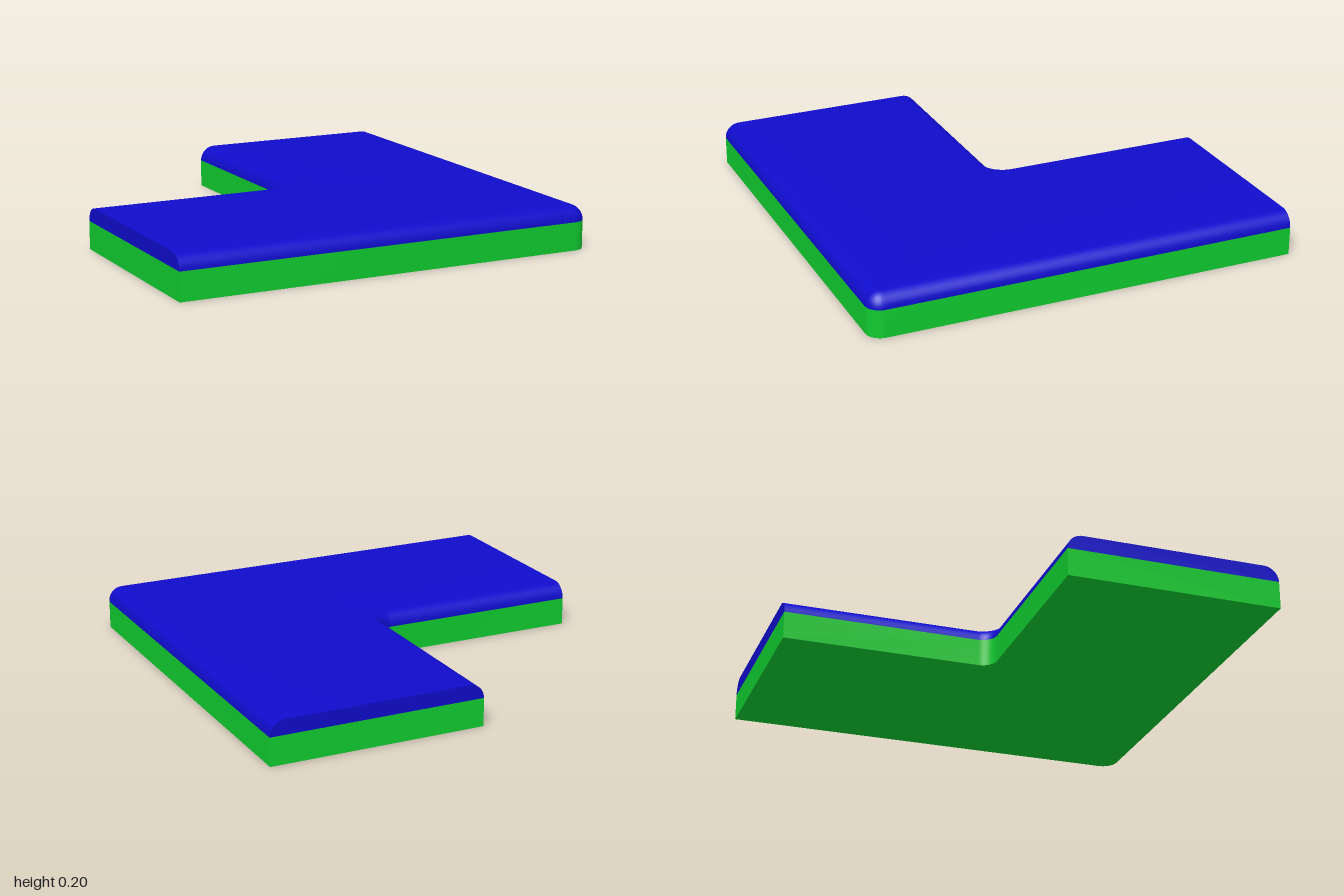
import * as THREE from 'three';
import { toCreasedNormals } from 'three/addons/utils/BufferGeometryUtils.js';

const R = 0.07;      // corner and edge radius
const SEAM = 0.13;   // height where the rounded top begins
const STEPS = 10;

// Stations along the L: left end, round the corner, back end
const stations = [{ a: Math.PI / 2, end: 'left' }];
for (let i = 0; i <= STEPS; i++) stations.push({ a: (Math.PI / 2) * (1 - i / STEPS) });
stations.push({ a: 0, end: 'back' });

// Place a section point (outer or inner side, inset d, height y) at a station
function place({ a, end }, { outer, d, y }) {
  const centre = outer ? 1 - R : -R;
  const r = outer ? R - d : R + d;
  const x = end === 'left' ? -1 : centre + r * Math.cos(a);
  const z = end === 'back' ? -1 : centre + r * Math.sin(a);
  return [x, y, z];
}

// Sweep a convex section along the stations and close both ends
function sweep(name, section, color) {
  const n = section.length;
  const positions = stations.flatMap(s => section.flatMap(p => place(s, p)));
  const index = [];
  const last = (stations.length - 1) * n;
  for (let s = 0; s < last; s += n) {
    for (let j = 0; j < n - 1; j++) {
      const p = s + j, q = p + n;
      index.push(p, q, q + 1, p, q + 1, p + 1);
    }
  }
  for (let j = 1; j < n - 1; j++) {
    index.push(0, j, j + 1, last, last + j + 1, last + j);
  }
  const geometry = new THREE.BufferGeometry();
  geometry.setAttribute('position', new THREE.Float32BufferAttribute(positions, 3));
  geometry.setIndex(index);
  const mesh = new THREE.Mesh(
    toCreasedNormals(geometry, 0.6),
    new THREE.MeshStandardMaterial({ color, side: THREE.DoubleSide })
  );
  mesh.name = name;
  return mesh;
}

export function createModel() {
  const group = new THREE.Group();
  group.name = 'cornerSlab';

  // Straight-sided lower layer
  const base = [
    { outer: false, d: 0, y: SEAM },
    { outer: false, d: 0, y: 0 },
    { outer: true, d: 0, y: 0 },
    { outer: true, d: 0, y: SEAM },
  ];

  // Upper layer with quarter-round edges on both long sides
  const outerEdge = [];
  for (let i = 0; i <= STEPS; i++) {
    const t = (Math.PI / 2) * (i / STEPS);
    outerEdge.push({ outer: true, d: R * (1 - Math.cos(t)), y: SEAM + R * Math.sin(t) });
  }
  const innerEdge = outerEdge.map(p => ({ ...p, outer: false })).reverse();

  group.add(sweep('baseLayer', base, 0x10cc30));
  group.add(sweep('topLayer', [...outerEdge, ...innerEdge], 0x100ccc));
  return group;
}
